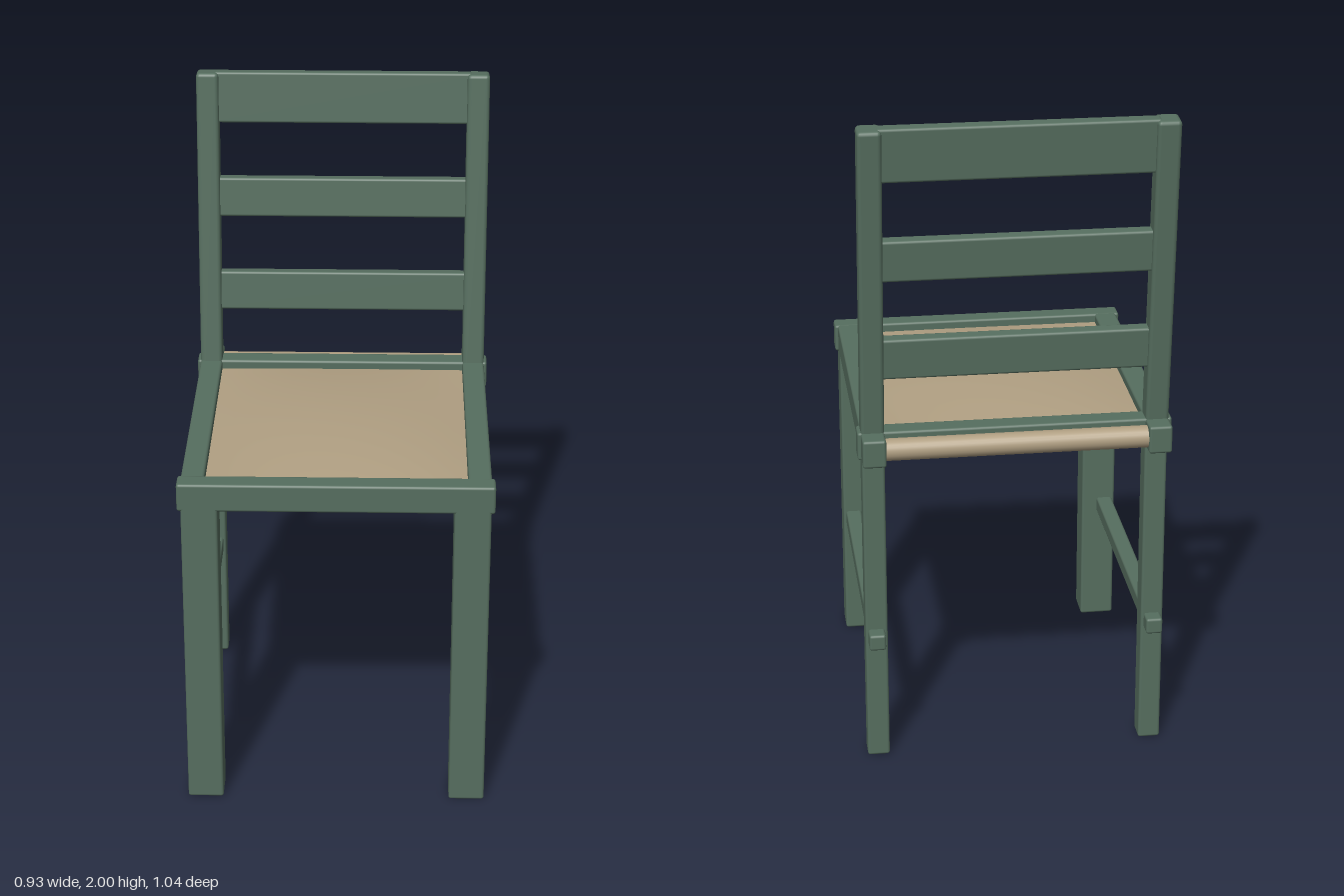
import * as THREE from 'three';
import { RoundedBoxGeometry } from 'three/addons/geometries/RoundedBoxGeometry.js';

export function createModel() {
  const chair = new THREE.Group();
  chair.name = 'chair';
  const paint = new THREE.MeshStandardMaterial({ name: 'green paint', color: 0x566e5f });
  const fabric = new THREE.MeshStandardMaterial({ name: 'tan seat', color: 0xb09f82 });

  // Softly rounded bar given by its extents on each axis
  function bar(parent, name, [x0, x1], [y0, y1], [z0, z1], radius = 0.008) {
    const geometry = new RoundedBoxGeometry(x1 - x0, y1 - y0, z1 - z0, 2, radius);
    const mesh = new THREE.Mesh(geometry, paint);
    mesh.name = name;
    mesh.position.set((x0 + x1) / 2, (y0 + y1) / 2, (z0 + z1) / 2);
    parent.add(mesh);
    return mesh;
  }

  // Backrest, leaning back about the rear of the seat
  const back = new THREE.Group();
  back.name = 'backrest';
  back.position.set(0, 1.02, -0.403);
  back.rotation.x = -0.0873;
  chair.add(back);

  // Mirrored parts: legs, side rails, stretchers and back posts
  for (const [side, s] of [['left', 1], ['right', -1]]) {
    const span = (a, b) => (s > 0 ? [a, b] : [-b, -a]);
    bar(chair, `${side}FrontLeg`, span(0.345, 0.453), [0, 1.0], [0.416, 0.52]);
    bar(chair, `${side}BackLeg`, span(0.385, 0.452), [0, 1.0], [-0.437, -0.367]);
    bar(chair, `${side}SideRail`, span(0.385, 0.454), [0.984, 1.069], [-0.505, 0.5]);
    bar(chair, `${side}Stretcher`, span(0.394, 0.444), [0.38, 0.43], [-0.482, 0.43]);
    bar(back, `${side}BackPost`, span(0.385, 0.454), [-0.03, 0.981], [-0.036, 0.036], 0.012);
  }

  // Front and rear seat rails, slightly wider than the side rails
  bar(chair, 'frontRail', [-0.464, 0.464], [0.983, 1.07], [0.455, 0.52]);
  bar(chair, 'rearRail', [-0.464, 0.464], [0.983, 1.07], [-0.44, -0.374]);

  // Ladder slats, in heights measured from the backrest pivot
  for (const [y0, y1] of [[0.216, 0.341], [0.522, 0.647], [0.823, 0.983]]) {
    bar(back, 'backSlat', [-0.4, 0.4], [y0, y1], [-0.021, 0.021]);
  }

  // Seat panel, swelling gently above and below
  const w = 0.79, d = 0.85;
  const panel = new THREE.BoxGeometry(w, 0.033, d, 16, 1, 16);
  const p = panel.attributes.position;
  for (let i = 0; i < p.count; i++) {
    const u = (2 * p.getX(i)) / w, v = (2 * p.getZ(i)) / d;
    const swell = 0.03 * (1 - u * u) * (1 - v * v);
    p.setY(i, p.getY(i) + Math.sign(p.getY(i)) * swell);
  }
  panel.computeVertexNormals();
  const seat = new THREE.Mesh(panel, fabric);
  seat.name = 'seatPanel';
  seat.position.set(0, 1.0255, 0.04);
  chair.add(seat);

  // Rolled edge of the seat behind the rear rail
  const roll = new THREE.Mesh(new THREE.CylinderGeometry(0.033, 0.033, 0.78, 24), fabric);
  roll.name = 'rearSeatRoll';
  roll.rotation.z = Math.PI / 2;
  roll.position.set(0, 1.026, -0.466);
  chair.add(roll);

  return chair;
}
